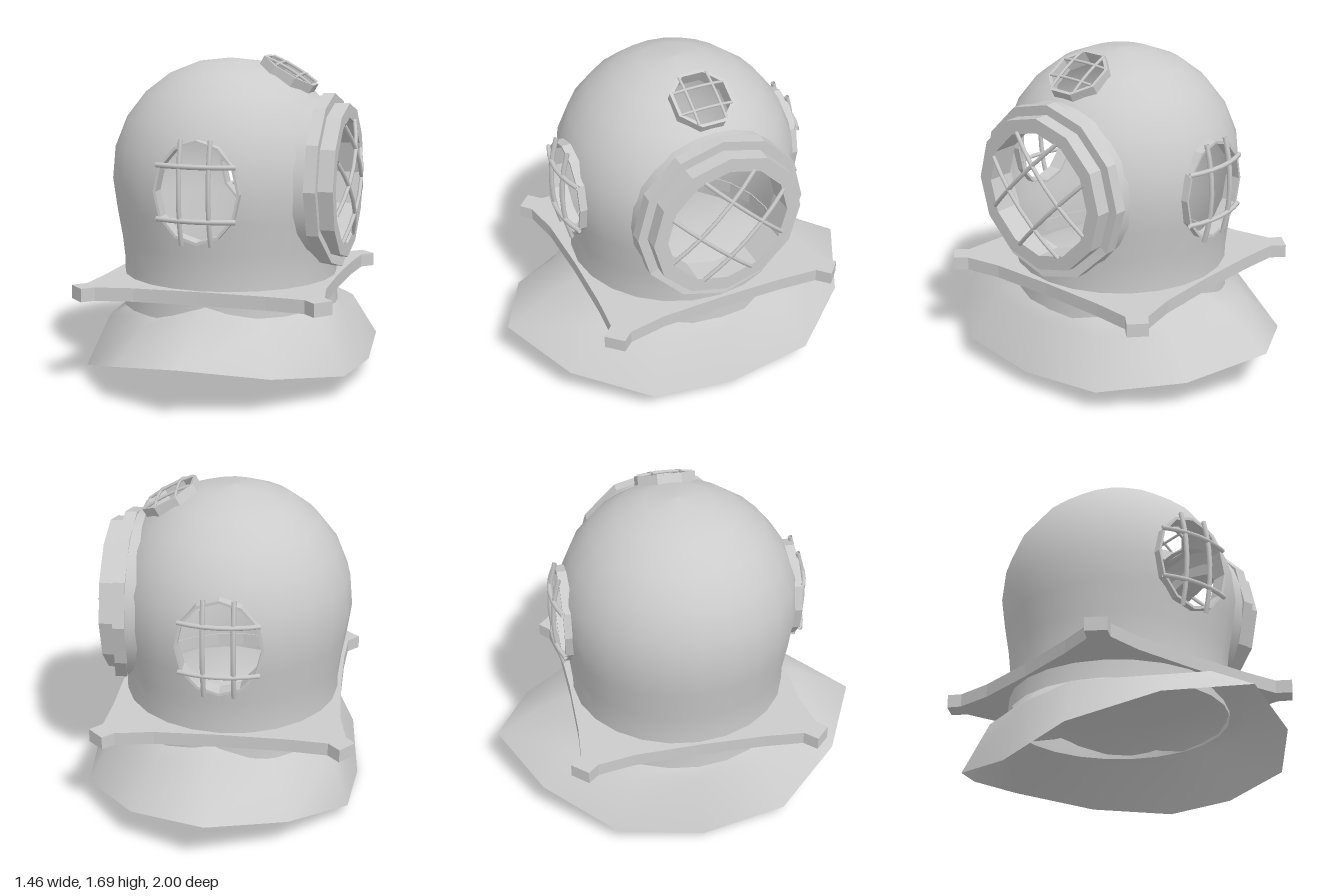
import * as THREE from 'three';

const smooth = () => new THREE.MeshStandardMaterial({ color: 0xcccccc, side: THREE.DoubleSide });
const faceted = () => new THREE.MeshStandardMaterial({ color: 0xcccccc, flatShading: true });
const V2 = (p) => new THREE.Vector2(...p);
const V3 = (...p) => new THREE.Vector3(...p);
const CENTRE = V3(-0.03, 1.04, 0);

function mesh(name, geometry, material) {
  const m = new THREE.Mesh(geometry, material);
  m.name = name;
  return m;
}

// Windows: local y points outward (n), local z is "up" on the window (v)
const WINDOWS = [
  { name: 'frontWindow', n: V3(1, 0, 0), v: V3(0, 1, 0), sides: 12, turn: 0, sx: 1,
    inner: 0.33, outer: 0.405, low: 0.5, high: 0.64, hole: 0.37,
    bars: [0.12, 0.12], barTurn: Math.PI / 4, barLen: [0.31, 0.31], bow: 0.04, barR: 0.011 },
  ...[1, -1].map((s) => ({ name: s > 0 ? 'rightHandWindow' : 'leftHandWindow',
    n: V3(0, 0, s), v: V3(0, 1, 0), sides: 12, turn: 0, sx: 0.85,
    inner: 0.247, outer: 0.262, low: 0.54, high: 0.622, hole: 0.255,
    bars: [0.135, 0.076], barTurn: 0, barLen: [0.203, 0.262], bow: 0.04, barR: 0.013 })),
  { name: 'topWindow', n: V3(0.5, 0.866, 0), v: V3(-0.866, 0.5, 0), sides: 8, turn: Math.PI / 8, sx: 1,
    inner: 0.146, outer: 0.163, low: 0.58, high: 0.66, hole: 0.154,
    bars: [0.06, 0.073], barTurn: 0, barLen: [0.135, 0.135], bow: 0.01, barR: 0.008 },
];
for (const w of WINDOWS) {
  const u = V3().crossVectors(w.n, w.v);
  w.matrix = new THREE.Matrix4().makeBasis(u, w.n, w.v).setPosition(CENTRE);
  w.inverse = w.matrix.clone().invert();
}

function ring(points, w) {
  const closed = [...points, points[0]].map(V2);
  return new THREE.LatheGeometry(closed, w.sides).rotateY(w.turn).scale(w.sx, 1, 1);
}

function makeWindow(w) {
  const g = new THREE.Group();
  g.name = w.name;
  g.applyMatrix4(w.matrix);
  g.add(mesh('windowRim', ring([[w.inner, w.low], [w.outer, w.low], [w.outer, w.high], [w.inner, w.high]], w), faceted()));
  // Bowed guard bars, two each way
  const guard = new THREE.Group();
  guard.name = 'guardBars';
  guard.rotation.y = w.barTurn;
  for (const way of [0, 1]) for (const s of [-1, 1]) {
    const off = s * w.bars[way], len = w.barLen[way];
    const at = (t, y) => (way === 0 ? V3(t, y, off) : V3(off, y, t));
    const path = new THREE.QuadraticBezierCurve3(at(-len, w.high), at(0, w.high + 2 * w.bow), at(len, w.high));
    guard.add(mesh('guardBar', new THREE.TubeGeometry(path, 6, w.barR, 6), smooth()));
  }
  g.add(guard);
  return g;
}

// Signed distances that are all positive inside a window's cutting prism
function cutPlanes(w) {
  const p = V3();
  const local = (q) => p.set(q[0], q[1], q[2]).applyMatrix4(w.inverse);
  const planes = [(q) => local(q).y - 0.2];
  for (let i = 0; i < w.sides; i++) {
    const a = ((i + 0.5) / w.sides) * Math.PI * 2 + w.turn;
    planes.push((q) => {
      local(q);
      return w.hole * Math.cos(Math.PI / w.sides) - (p.x / w.sx) * Math.sin(a) - p.z * Math.cos(a);
    });
  }
  return planes;
}

function split(poly, dist) {
  const inside = [], outside = [];
  poly.forEach((a, i) => {
    const b = poly[(i + 1) % poly.length], da = dist(a), db = dist(b);
    (da > 0 ? inside : outside).push(a);
    if (da > 0 !== db > 0) {
      const c = a.map((v, k) => v + (b[k] - v) * (da / (da - db)));
      inside.push(c);
      outside.push(c);
    }
  });
  return [inside, outside];
}

// Dome and neck: a lathe with the window openings cut out
function makeDome() {
  const profile = [[0.578, 0.37], [0.57, 0.47], [0.57, 0.6], [0.583, 0.72], [0.61, 0.88], [0.63, 1.03],
    [0.614, 1.2], [0.55, 1.36], [0.45, 1.49], [0.32, 1.59], [0.17, 1.65], [0.0001, 1.67]];
  const lathe = new THREE.LatheGeometry(profile.map(V2), 24).translate(CENTRE.x, 0, 0);
  const { position: P, normal: N } = lathe.attributes;
  const corner = (i) => [P.getX(i), P.getY(i), P.getZ(i), N.getX(i), N.getY(i), N.getZ(i)];
  let polys = [];
  for (let i = 0; i < lathe.index.count; i += 3)
    polys.push([0, 1, 2].map((k) => corner(lathe.index.getX(i + k))));
  for (const w of WINDOWS) {
    const planes = cutPlanes(w), kept = [];
    for (const poly of polys) {
      const pieces = [];
      let rest = poly;
      for (const plane of planes) {
        const [inside, outside] = split(rest, plane);
        if (outside.length > 2) pieces.push(outside);
        rest = inside;
        if (rest.length < 3) break;
      }
      kept.push(...(rest.length < 3 ? [poly] : pieces));
    }
    polys = kept;
  }
  const pos = [], nor = [];
  for (const poly of polys) for (let i = 1; i < poly.length - 1; i++)
    for (const c of [poly[0], poly[i], poly[i + 1]]) {
      pos.push(...c.slice(0, 3));
      nor.push(...c.slice(3));
    }
  const g = new THREE.BufferGeometry();
  g.setAttribute('position', new THREE.Float32BufferAttribute(pos, 3));
  g.setAttribute('normal', new THREE.Float32BufferAttribute(nor, 3));
  return mesh('dome', g, smooth());
}

// Front mount: a short sleeve out of the dome, then a flange whose lower edge bends outward
function makeFrontMount() {
  const w = WINDOWS[0], group = new THREE.Group();
  group.name = 'frontMount';
  group.applyMatrix4(w.matrix);
  const sleeve = new THREE.LatheGeometry([[0.445, 0.38], [0.44, 0.52]].map(V2), 24);
  const flange = ring([[0.35, 0.5], [0.455, 0.5], [0.455, 0.562], [0.35, 0.562]], w);
  for (const g of [sleeve, flange]) {
    const p = g.attributes.position;
    for (let i = 0; i < p.count; i++)
      p.setY(i, p.getY(i) + 0.2 * Math.max(0, -p.getZ(i) - 0.2));
  }
  group.add(mesh('sleeve', sleeve, smooth()), mesh('flange', flange, faceted()));
  return group;
}

// Square plate with concave sides and blunt corner lugs
function makePlate() {
  const side = [[0.59, 0], [0.595, 0.35], [0.61, 0.55], [0.67, 0.61], [0.59, 0.685], [0.535, 0.635], [0.34, 0.6]];
  const outline = [];
  for (let q = 0; q < 4; q++) {
    const c = Math.round(Math.cos(q * Math.PI / 2)), s = Math.round(Math.sin(q * Math.PI / 2));
    for (const [x, y] of side) outline.push(V2([x * c - y * s, x * s + y * c]));
  }
  const shape = new THREE.Shape(outline);
  shape.holes.push(new THREE.Path().absarc(0, 0, 0.565, 0, Math.PI * 2, true));
  const g = new THREE.ExtrudeGeometry(shape, { depth: 0.07, bevelEnabled: false, curveSegments: 12 });
  g.rotateX(-Math.PI / 2).translate(CENTRE.x, 0.467, 0);
  return mesh('neckPlate', g, faceted());
}

// Saddle-shaped shoulder collar lofted through half rings mirrored in z, vaulted across the neck
function makeCollar() {
  const halves = [
    [[0.73, 0.09, 0], [0.69, 0.12, 0.45], [0.4, 0.18, 0.8], [0, 0.25, 1], [-0.4, 0.18, 0.8], [-0.69, 0.07, 0.45], [-0.73, 0, 0]],
    [[0.6, 0.33, 0], [0.57, 0.35, 0.36], [0.32, 0.37, 0.62], [0, 0.42, 0.7], [-0.32, 0.34, 0.62], [-0.59, 0.33, 0.36], [-0.63, 0.32, 0]],
    [[0.54, 0.39, 0], [0.47, 0.4, 0.3], [0.26, 0.4, 0.48], [0, 0.46, 0.55], [-0.29, 0.37, 0.48], [-0.5, 0.37, 0.3], [-0.58, 0.37, 0]],
  ];
  halves.push(halves[2].map(([x, , z]) => [x * 0.8, 0.52, z * 0.8]));
  const pos = [], index = [], n = 12, rows = halves.length;
  for (const h of halves) {
    const back = h.slice(1, -1).reverse().map(([x, y, z]) => [x, y, -z]);
    pos.push(...[...h, ...back].flat());
  }
  pos.push(0, 0.55, 0);
  for (let i = 0; i < n; i++) {
    const j = (i + 1) % n;
    for (let r = 0; r < (rows - 1) * n; r += n) index.push(r + i, r + i + n, r + j, r + j, r + i + n, r + j + n);
    index.push((rows - 1) * n + i, rows * n, (rows - 1) * n + j);
  }
  const g = new THREE.BufferGeometry();
  g.setAttribute('position', new THREE.Float32BufferAttribute(pos, 3));
  g.setIndex(index);
  g.computeVertexNormals();
  return mesh('shoulderCollar', g, smooth());
}

export function createModel() {
  const model = new THREE.Group();
  model.name = 'divingHelmet';
  model.add(makeDome(), makeFrontMount(), makePlate(), makeCollar(), ...WINDOWS.map(makeWindow));
  return model;
}
